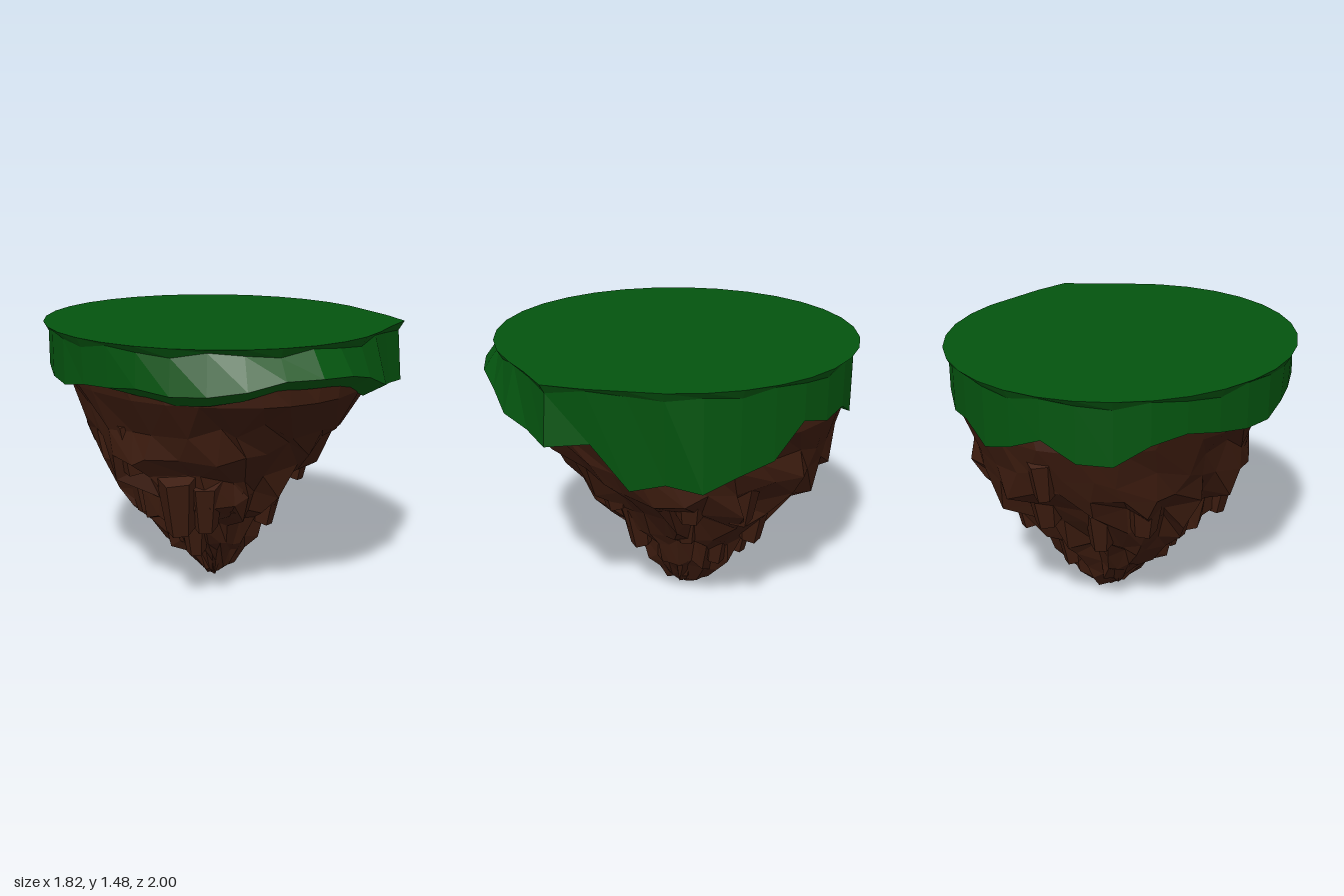
import * as THREE from 'three';

const GRASS = new THREE.MeshStandardMaterial({ color: 0x04540f, flatShading: true, side: THREE.DoubleSide });
const ROCK = new THREE.MeshStandardMaterial({ color: 0x3d1c0f, flatShading: true, side: THREE.DoubleSide });

let seed = 7;
function rand() {
  seed = (seed * 16807) % 2147483647;
  return seed / 2147483647;
}

// Joins closed rings of points, listed from top to bottom, into a faceted skin
function loft(rings) {
  const pos = [];
  const n = rings[0].length;
  for (let i = 0; i < rings.length - 1; i++) {
    for (let k = 0; k < n; k++) {
      const a = rings[i][k], b = rings[i][(k + 1) % n];
      const c = rings[i + 1][k], d = rings[i + 1][(k + 1) % n];
      for (const p of [a, b, c, b, d, c]) pos.push(p.x, p.y, p.z);
    }
  }
  const g = new THREE.BufferGeometry();
  g.setAttribute('position', new THREE.Float32BufferAttribute(pos, 3));
  g.computeVertexNormals();
  return g;
}

function addMesh(parent, name, geometry, material) {
  const mesh = new THREE.Mesh(geometry, material);
  mesh.name = name;
  parent.add(mesh);
  return mesh;
}

// Grass: height and reach of the hanging edge, going round from +x towards +z
const EDGE_Y = [
  0.98, 0.94, 1.18, 1.16, 1.18, 1.21, 1.28, 1.32, 1.33, 1.33, 1.29, 1.26, 1.25, 1.27, 1.25, 1.24,
  1.21, 1.22, 1.25, 1.28, 1.24, 1.14, 1.15, 1.25, 1.18, 1.13, 1.22, 1.20, 1.25, 1.08, 1.03, 0.95];
const EDGE_R = [
  0.92, 0.93, 0.98, 1.09, 1.02, 1.04, 1.03, 1.06, 1.07, 1.05, 1.06, 1.03, 1.0, 0.98, 0.96, 0.96];

function grassGeometry() {
  const n = EDGE_Y.length;
  const ring = (scale, height) => Array.from({ length: n }, (_, k) => {
    const a = (k / n) * Math.PI * 2, s = scale(k);
    return new THREE.Vector3(0.91 * s * Math.cos(a), height(k), -0.035 + 0.965 * s * Math.sin(a));
  });
  const rim = k => ({ 2: 1.04, 3: 1.1, 4: 1.02 }[k] ?? 1);
  const reach = k => EDGE_R[k] ?? 0.97;
  const front = k => k > 3 && k < 14;
  return loft([
    ring(() => 0, () => 1.48),
    ring(rim, () => 1.48),
    ring(k => rim(k) * 0.97, k => 1.43 + 0.015 * (k % 3)),
    ring(reach, k => EDGE_Y[k]),
    ring(k => reach(k) - (front(k) ? 0.13 : 0.08), k => EDGE_Y[k] + (front(k) ? -0.07 : 0.02)),
    ring(() => 0.7, k => EDGE_Y[k] + 0.1),
  ]);
}

// Rock outline: height, reach to -x, +x, -z, +z from the axis
const AXIS_Z = -0.07;
const OUTLINE = [
  [1.36, 0.82, 0.83, 0.86, 0.93],
  [1.18, 0.77, 0.83, 0.86, 0.92],
  [1.00, 0.71, 0.80, 0.83, 0.77],
  [0.86, 0.67, 0.74, 0.80, 0.66],
  [0.73, 0.62, 0.66, 0.70, 0.56],
  [0.60, 0.54, 0.53, 0.60, 0.50],
  [0.46, 0.46, 0.43, 0.48, 0.42],
  [0.39, 0.36, 0.38, 0.41, 0.28],
  [0.25, 0.27, 0.31, 0.33, 0.23],
  [0.18, 0.18, 0.25, 0.28, 0.17],
  [0.09, 0.10, 0.16, 0.20, 0.12],
  [0.00, 0.03, 0.05, 0.08, 0.05],
];

function rockPoint(y, angle, scale) {
  let i = 0;
  while (i < OUTLINE.length - 2 && OUTLINE[i + 1][0] > y) i++;
  const A = OUTLINE[i], B = OUTLINE[i + 1];
  const t = THREE.MathUtils.clamp((A[0] - y) / (A[0] - B[0]), 0, 1);
  const c = Math.cos(angle), s = Math.sin(angle);
  const ix = c < 0 ? 1 : 2, iz = s < 0 ? 3 : 4;
  // The flanks bulge squarely at three of the four corners
  const corner = c < 0 ? (s < 0 ? 0.06 : 0.2) : (s < 0 ? 0.16 : 0);
  const fade = THREE.MathUtils.clamp((0.95 - y) / 0.3, 0, 1);
  const r = scale * (1 + corner * fade * Math.abs(Math.sin(2 * angle)));
  return new THREE.Vector3(
    c * r * THREE.MathUtils.lerp(A[ix], B[ix], t), y,
    AXIS_Z + s * r * THREE.MathUtils.lerp(A[iz], B[iz], t));
}

// Upper flanks are fairly even, the lower ones deeply fluted
function rockGeometry() {
  const n = 30;
  const rings = OUTLINE.map(([y], i) => Array.from({ length: n }, (_, k) => {
    const rough = i < 2 ? 0.03 : i < 4 ? 0.08 : 0.17;
    const flute = i > 3 && k % 2 ? 0.1 : 0;
    const last = i === OUTLINE.length - 1;
    const angle = ((k + (rand() - 0.5) * 0.7) / n) * Math.PI * 2;
    const p = rockPoint(y, angle, 1.02 - rough * rand() - flute);
    if (i > 1 && !last) p.y += (rand() - 0.5) * (i < 6 ? 0.1 : 0.06);
    if (last) p.y += 0.03 * rand();
    return p;
  }));
  rings.push(rings[0].map(() => new THREE.Vector3(-0.01, 0, AXIS_Z)));
  return loft(rings);
}

// Wedge of rock with a slanted broken foot, leaning a little with the flank
function addCrag(parent, [x, y, z, size]) {
  const g = new THREE.CylinderGeometry(size * 0.9, size * 0.6, size * 2.4, 6);
  g.translate(0, size * 1.2, 0);
  const pos = g.attributes.position;
  const out = new THREE.Vector3(x, 0, z - AXIS_Z).normalize();
  for (let i = 0; i < pos.count; i++) {
    const px = pos.getX(i), py = pos.getY(i), pz = pos.getZ(i);
    const lean = py * 0.12;
    pos.setXYZ(i, px + out.x * lean, py - (px * out.x + pz * out.z) * 0.4, pz + out.z * lean);
  }
  g.computeVertexNormals();
  const inset = size * 0.55;
  addMesh(parent, 'crag', g, ROCK).position.set(x - out.x * inset, y + size * 0.24, z - out.z * inset);
}

// Feet of the main crags: x, y, z, size
const CRAGS = [
  [-0.61, 0.72, 0.12, 0.12], [-0.44, 0.41, 0.33, 0.13], [-0.3, 0.42, 0.38, 0.11],
  [-0.24, 0.21, 0.15, 0.09], [-0.1, 0.5, 0.38, 0.1], [0.08, 0.27, 0.14, 0.08],
  [0.24, 0.32, 0.18, 0.11], [0.36, 0.6, 0.3, 0.11], [0.65, 0.67, -0.15, 0.12],
  [0.58, 0.64, -0.42, 0.13], [0.35, 0.43, -0.49, 0.11], [0.4, 0.43, -0.12, 0.1],
  [0.29, 0.26, -0.29, 0.09], [0.1, 0.24, -0.42, 0.09], [0.05, 0.6, -0.7, 0.12],
  [-0.2, 0.46, -0.53, 0.1], [-0.44, 0.58, -0.45, 0.12], [-0.44, 0.43, -0.1, 0.1],
  [-0.1, 0.87, -0.88, 0.09], [-0.1, 0.16, -0.22, 0.06], [0.17, 0.1, -0.1, 0.05],
];

export function createModel() {
  const island = new THREE.Group();
  island.name = 'floatingIsland';
  addMesh(island, 'grassTop', grassGeometry(), GRASS);
  addMesh(island, 'rockBody', rockGeometry(), ROCK);
  const crags = new THREE.Group();
  crags.name = 'crags';
  CRAGS.forEach(c => addCrag(crags, c));
  island.add(crags);
  return island;
}
